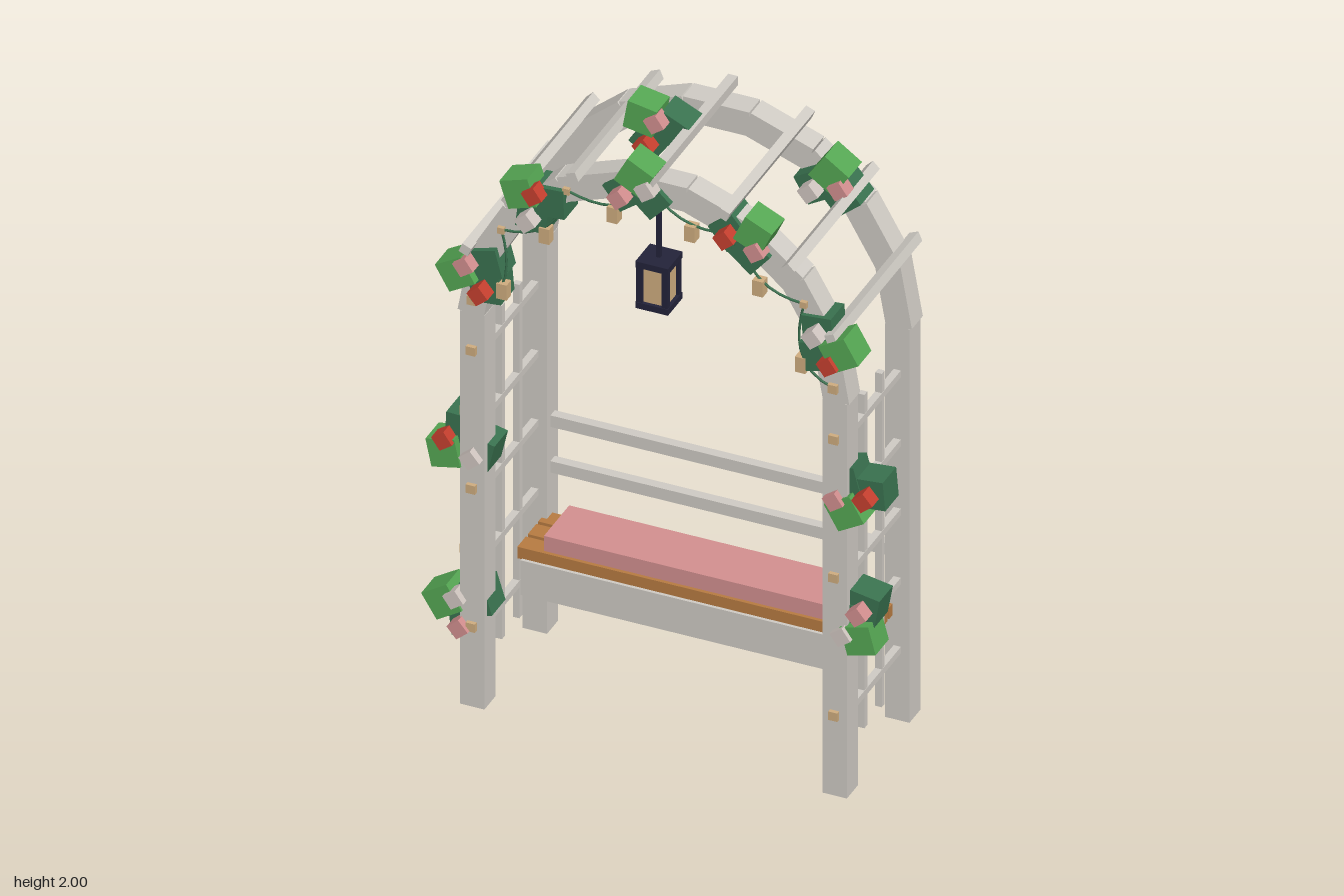
import * as THREE from 'three';

const mat = (name, color) => {
  const m = new THREE.MeshStandardMaterial({ color });
  m.name = name;
  return m;
};
const rad = THREE.MathUtils.degToRad;

export function createModel() {
  const paint = mat('weatheredWhite', 0xd0ccc5);
  const timber = mat('timber', 0xb87c42);
  const pink = mat('pink', 0xd49090);
  const leafLight = mat('lightLeaf', 0x56a854);
  const leafDark = mat('darkLeaf', 0x3a7350);
  const red = mat('red', 0xc8402f);
  const white = mat('palePetal', 0xd2c8c2);
  const glow = mat('warmGlow', 0xd0ae80);
  const iron = mat('darkIron', 0x23233a);

  const model = new THREE.Group();
  model.name = 'gardenArbour';
  const group = (name) => {
    const g = new THREE.Group();
    g.name = name;
    model.add(g);
    return g;
  };
  const box = (parent, name, m, [w, h, d], [x, y, z], tilt = 0) => {
    const b = new THREE.Mesh(new THREE.BoxGeometry(w, h, d), m);
    b.name = name;
    b.position.set(x, y, z);
    b.rotation.z = rad(tilt);
    parent.add(b);
  };

  const R = 0.555, SPRING = 1.31, FRONT = 0.2025, BACK = -0.223, T = 0.075, CX = 0.002;
  const onArch = (deg, r = R) => [CX + Math.cos(rad(deg)) * r, SPRING + Math.sin(rad(deg)) * r];

  // Two frames: posts and nine straight arch segments each
  for (const [name, z] of [['frontFrame', FRONT], ['backFrame', BACK]]) {
    const frame = group(name);
    for (const s of [-1, 1]) box(frame, 'post', paint, [T, SPRING, T], [CX + s * R, SPRING / 2, z]);
    for (let deg = 10; deg < 180; deg += 20)
      box(frame, 'archSegment', paint, [T + 0.005, 0.203, T], [...onArch(deg, 0.551), z], deg);
  }

  // Crossbars over the arch
  const bars = group('crossbars');
  for (let deg = 22.5; deg < 180; deg += 22.5)
    box(bars, 'crossbar', paint, [0.03, 0.03, 0.58], [...onArch(deg, 0.606), -0.011], deg);

  // Side trellises
  for (const s of [-1, 1]) {
    const trellis = group(s > 0 ? 'leftTrellis' : 'rightTrellis');
    const x = CX + s * R;
    for (const z of [0.05, -0.068]) box(trellis, 'upright', paint, [0.02, 1.11, 0.02], [x, 0.675, z]);
    for (let i = 0; i < 5; i++)
      box(trellis, 'rung', paint, [0.022, 0.022, 0.37], [x, 0.235 + i * 0.23, -0.01]);
  }

  // Bench with apron, slats, cushion and back rails
  const bench = group('bench');
  box(bench, 'apron', paint, [1.04, 0.115, 0.022], [CX, 0.29, -0.022]);
  for (let i = 0; i < 3; i++)
    box(bench, 'seatSlat', timber, [1.075, 0.038, 0.058], [0.005, 0.364, -0.05 - i * 0.071]);
  box(bench, 'cushion', pink, [0.92, 0.05, 0.172], [0.004, 0.408, -0.118]);
  for (const y of [0.543, 0.695]) box(bench, 'backRail', paint, [1.06, 0.038, 0.03], [CX, y, BACK]);

  // Hanging lantern
  const lantern = group('lantern');
  box(lantern, 'rod', iron, [0.012, 0.22, 0.012], [CX, 1.73, FRONT]);
  for (const y of [1.48, 1.615]) box(lantern, 'lanternPlate', iron, [0.1, 0.02, 0.1], [CX, y, FRONT]);
  box(lantern, 'glass', glow, [0.078, 0.12, 0.078], [CX, 1.547, FRONT]);
  for (const sx of [-1, 1]) for (const sz of [-1, 1])
    box(lantern, 'cornerBar', iron, [0.018, 0.12, 0.018], [CX + sx * 0.039, 1.547, FRONT + sz * 0.039]);

  // Swagged string of lights under the arch
  const lights = group('stringLights');
  const zl = 0.243;
  const peg = (i) => new THREE.Vector3(...onArch(5 + i * 170 / 6), zl);
  for (let i = 0; i < 7; i++) {
    const p = peg(i);
    const s = i % 6 ? 0.02 : 0.028;
    box(lights, 'peg', glow, [s, s, 0.02], p.toArray());
    if (i === 6) break;
    const q = peg(i + 1);
    const mid = p.clone().lerp(q, 0.5);
    const ctrl = mid.clone();
    ctrl.x += (CX - mid.x) * 0.2;
    ctrl.y -= 0.09;
    const curve = new THREE.QuadraticBezierCurve3(p, ctrl, q);
    const wire = new THREE.Mesh(new THREE.TubeGeometry(curve, 8, 0.004, 5), leafDark);
    wire.name = 'wire';
    lights.add(wire);
    const low = curve.getPoint(0.5);
    box(lights, 'bulb', glow, [0.032, 0.05, 0.032], [low.x, low.y - 0.024, zl]);
  }
  // Lights winding up the posts
  for (const s of [-1, 1])
    for (let i = 0; i < 3; i++)
      box(lights, 'postLight', glow, [0.028, 0.028, 0.02], [CX + s * R, 0.27 + i * 0.46, zl]);
  for (const y of [0.5, 0.96]) box(lights, 'postLight', glow, [0.02, 0.028, 0.028], [-0.593, y, FRONT]);

  // Foliage: one light leaf block, two dark ones opposite, a blossom on either side
  const foliage = (name, x, y, z, aim, tilt, blossomA, blossomB) => {
    const g = group(name);
    const put = (part, m, size, turn, reach, dz, roll) => {
      const a = rad(aim + turn);
      box(g, part, m, [size, size, size], [x + Math.cos(a) * reach, y + Math.sin(a) * reach, z + dz], roll);
    };
    put('lightLeaves', leafLight, 0.09, 0, 0.052, 0.003, tilt);
    put('darkLeaves', leafDark, 0.092, 120, 0.052, -0.028, tilt + 65);
    put('darkLeaves', leafDark, 0.092, -125, 0.045, -0.024, tilt - 15);
    put('blossom', blossomA, 0.046, -60, 0.044, 0.04, 35);
    put('blossom', blossomB, 0.046, 118, 0.05, 0.042, 40);
  };
  // x, y, z, direction of the light leaves, tilt
  foliage('rightLowFoliage', -0.595, 0.31, 0.2, 160, 32, white, pink);
  foliage('rightMiddleFoliage', -0.597, 0.855, 0.2, 215, 12, red, white);
  foliage('leftMiddleFoliage', 0.602, 1, 0.2, 255, 30, pink, red);
  foliage('leftLowFoliage', 0.605, 0.583, 0.2, 300, 15, white, pink);
  foliage('rightArchFoliage', -0.535, 1.455, 0.235, 180, 30, pink, red);
  foliage('rightShoulderFoliage', -0.355, 1.74, 0.235, 139, 18, red, white);
  foliage('crownFoliage', -0.04, 1.868, 0.235, 90, -28, white, pink);
  foliage('crownMiddleFoliage', -0.1, 1.905, -0.015, 130, -10, pink, red);
  foliage('leftShoulderFoliage', 0.29, 1.785, 0.235, 49, -25, pink, red);
  foliage('backShoulderFoliage', 0.37, 1.755, -0.16, 80, -35, pink, white);
  foliage('leftArchFoliage', 0.535, 1.495, 0.235, 0, 30, red, white);
  return model;
}
